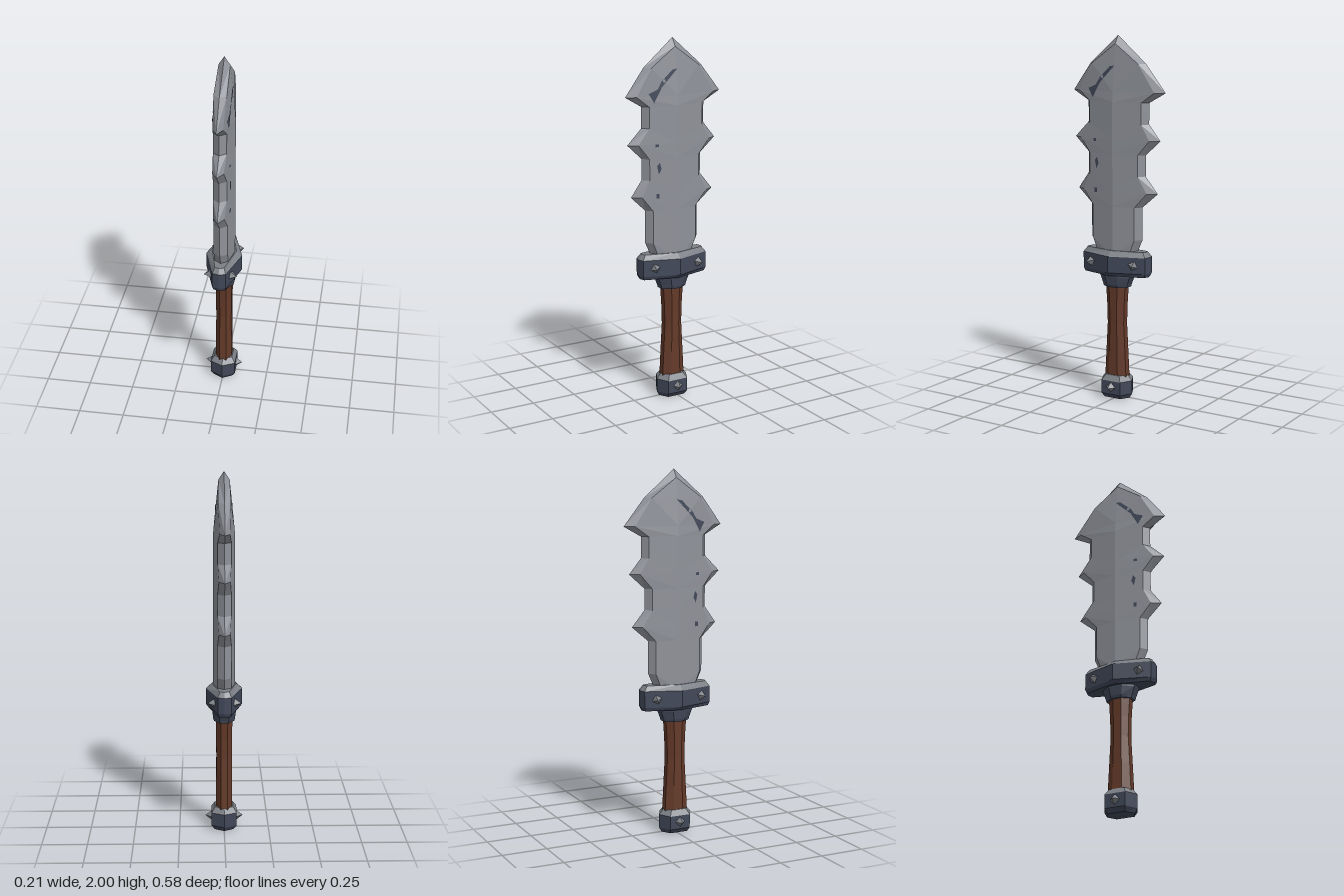
import * as THREE from 'three';

const mat = (name, color, side = THREE.FrontSide) =>
  Object.assign(new THREE.MeshStandardMaterial({ color, side, flatShading: true }), { name });
const bladeSteel = mat('bladeSteel', 0x8f9299);
const trimSteel = mat('trimSteel', 0x7c8086);
const darkIron = mat('darkIron', 0x414859, THREE.DoubleSide);
const leather = mat('leather', 0x643a29);

const CZ = 0.01; // depth centre of the hilt

function meshFrom(name, positions, material) {
  const g = new THREE.BufferGeometry();
  g.setAttribute('position', new THREE.Float32BufferAttribute(positions, 3));
  g.computeVertexNormals();
  const m = new THREE.Mesh(g, material);
  m.name = name;
  return m;
}

// Plan polygon [x, z] swept through rows of [y, xScale, zScale], capped at both ends
function loft(name, plan, rows, material) {
  const out = [], n = plan.length;
  const pt = ([y, sx, sz], j) => [plan[j % n][0] * sx, y, CZ + plan[j % n][1] * sz];
  const first = rows[0], last = rows[rows.length - 1];
  for (let j = 0; j < n; j++) {
    for (let i = 0; i < rows.length - 1; i++) {
      const a = pt(rows[i], j), b = pt(rows[i], j + 1), c = pt(rows[i + 1], j + 1), d = pt(rows[i + 1], j);
      out.push(...a, ...b, ...c, ...a, ...c, ...d);
    }
    out.push(0, last[0], CZ, ...pt(last, j), ...pt(last, j + 1));
    out.push(0, first[0], CZ, ...pt(first, j + 1), ...pt(first, j));
  }
  return meshFrom(name, out, material);
}

const octagon = Array.from({ length: 8 }, (_, i) => {
  const t = ((i + 0.5) / 8) * Math.PI * 2, r = 1 / Math.cos(Math.PI / 8);
  return [Math.sin(t) * r, Math.cos(t) * r];
});

// Blade rows: y, front edge z, back edge z, bevel inset, half thickness at bevel
const bladeRows = [
  [1.85, 0.18, -0.17, 0.03, 0.034],
  [1.70, 0.29, -0.29, 0.055, 0.027],
  [1.645, 0.195, -0.19, 0.03, 0.036],
  [1.53, 0.195, -0.19, 0.03, 0.036],
  [1.445, 0.28, -0.26, 0.052, 0.03],
  [1.365, 0.195, -0.17, 0.03, 0.037],
  [1.25, 0.195, -0.17, 0.03, 0.037],
  [1.16, 0.26, -0.245, 0.052, 0.03],
  [1.08, 0.175, -0.15, 0.03, 0.038],
  [0.90, 0.175, -0.15, 0.03, 0.038],
  [0.80, 0.13, -0.105, 0.025, 0.038],
];
const ridge = y => (y < 1.66 ? 0.06 : 0.06 - (y - 1.66) * 0.1);

function makeBlade() {
  const tip = [0, 2, 0.005], tipInner = [0.03, 1.955, 0.005];
  const grid = [[tip, tipInner, tipInner, tipInner, tip]];
  for (const [y, f, b, inset, t] of bladeRows) {
    grid.push([[0, y, f], [t, y, f - inset], [ridge(y), y, 0.005], [t, y, b + inset], [0, y, b]]);
  }
  const out = [];
  for (const s of [1, -1]) {
    const tri = (...p) => {
      if (s < 0) p.reverse();
      for (const [x, y, z] of p) out.push(x * s, y, z);
    };
    for (let i = 0; i < grid.length - 1; i++) {
      for (let j = 0; j < 4; j++) {
        const a = grid[i][j], b = grid[i + 1][j], c = grid[i + 1][j + 1], d = grid[i][j + 1];
        if (j % 2) { tri(a, b, c); if (a !== d) tri(a, c, d); }
        else { tri(a, b, d); tri(b, c, d); }
      }
    }
  }
  return meshFrom('blade', out, bladeSteel);
}

// Height of the blade face at a point on its front half
function faceX(y, z) {
  let i = 0;
  while (i < bladeRows.length - 2 && bladeRows[i + 1][0] > y) i++;
  const p = bladeRows[i], q = bladeRows[i + 1];
  const k = THREE.MathUtils.clamp((p[0] - y) / (p[0] - q[0]), 0, 1);
  const zi = THREE.MathUtils.lerp(p[1] - p[3], q[1] - q[3], k);
  const t = THREE.MathUtils.lerp(p[4], q[4], k);
  return THREE.MathUtils.lerp(ridge(y), t, Math.min(1, z / zi));
}

// Dark nick marks laid on the blade faces, outlines as [z, y]
const marks = [
  [[0, 1.84], [0.03, 1.835], [0.095, 1.775], [0.12, 1.735], [0.17, 1.715], [0.14, 1.665],
    [0.115, 1.71], [0.095, 1.745], [0.03, 1.81]],
  [[0.125, 1.325], [0.11, 1.345], [0.1, 1.31], [0.115, 1.28]],
  [[0.135, 1.445], [0.115, 1.445], [0.115, 1.43], [0.135, 1.43]],
  [[0.13, 1.175], [0.112, 1.175], [0.112, 1.15], [0.13, 1.15]],
];

function makeMarks() {
  const group = new THREE.Group();
  group.name = 'bladeNicks';
  for (const s of [1, -1]) {
    for (const outline of marks) {
      const g = new THREE.ShapeGeometry(new THREE.Shape(outline.map(p => new THREE.Vector2(...p))));
      const pos = g.attributes.position;
      for (let i = 0; i < pos.count; i++) {
        const z = pos.getX(i), y = pos.getY(i);
        pos.setXYZ(i, s * (faceX(y, z) + 0.004), y, z);
      }
      g.computeVertexNormals();
      const m = new THREE.Mesh(g, darkIron);
      m.name = 'nick';
      group.add(m);
    }
  }
  return group;
}

// Four-sided stud with its point at tip, aimed along dir
function stud(name, tip, dir, radius, length) {
  const g = new THREE.ConeGeometry(radius, length, 4);
  g.translate(0, -length / 2, 0);
  const m = new THREE.Mesh(g, trimSteel);
  m.quaternion.setFromUnitVectors(new THREE.Vector3(0, 1, 0), new THREE.Vector3(...dir).normalize());
  m.position.set(...tip);
  m.name = name;
  return m;
}

export function createModel() {
  const root = new THREE.Group();
  root.name = 'jaggedSword';
  root.add(makeBlade(), makeMarks());

  // Crossguard: dark body with a pale chamfered top
  const guardPlan = [[0, 0.207], [0.037, 0.198], [0.1, 0], [0.037, -0.198], [0, -0.207],
    [-0.037, -0.198], [-0.1, 0], [-0.037, 0.198]];
  root.add(
    loft('guard', guardPlan, [[0.70, 0.85, 0.96], [0.72, 1, 1], [0.81, 1, 1]], darkIron),
    loft('guardTop', guardPlan, [[0.81, 1, 1], [0.838, 0.68, 0.9]], trimSteel),
    loft('collar', octagon, [[0.63, 0.055, 0.075], [0.645, 0.06, 0.078], [0.69, 0.065, 0.095], [0.71, 0.065, 0.095]], darkIron),
    loft('grip', octagon, [[0.11, 0.046, 0.068], [0.27, 0.044, 0.06], [0.42, 0.043, 0.052], [0.53, 0.044, 0.055], [0.64, 0.046, 0.062]], leather),
  );

  // Pommel
  const pommelPlan = [[0, 0.095], [0.07, 0.06], [0.07, -0.06], [0, -0.095], [-0.07, -0.06], [-0.07, 0.06]];
  root.add(
    loft('pommel', pommelPlan, [[0, 0.75, 0.85], [0.025, 1, 1], [0.1, 1, 1]], darkIron),
    loft('pommelTop', pommelPlan, [[0.1, 1, 1], [0.13, 0.72, 0.72]], trimSteel),
  );

  // Studs on both sides
  for (const s of [1, -1]) {
    root.add(stud('pommelStud', [s * 0.105, 0.065, CZ], [s, 0, 0], 0.036, 0.045));
    for (const d of [1, -1]) {
      root.add(stud('guardStud', [s * 0.092, 0.765, CZ + d * 0.145], [s * 0.95, 0, d * 0.31], 0.034, 0.045));
    }
  }
  return root;
}
